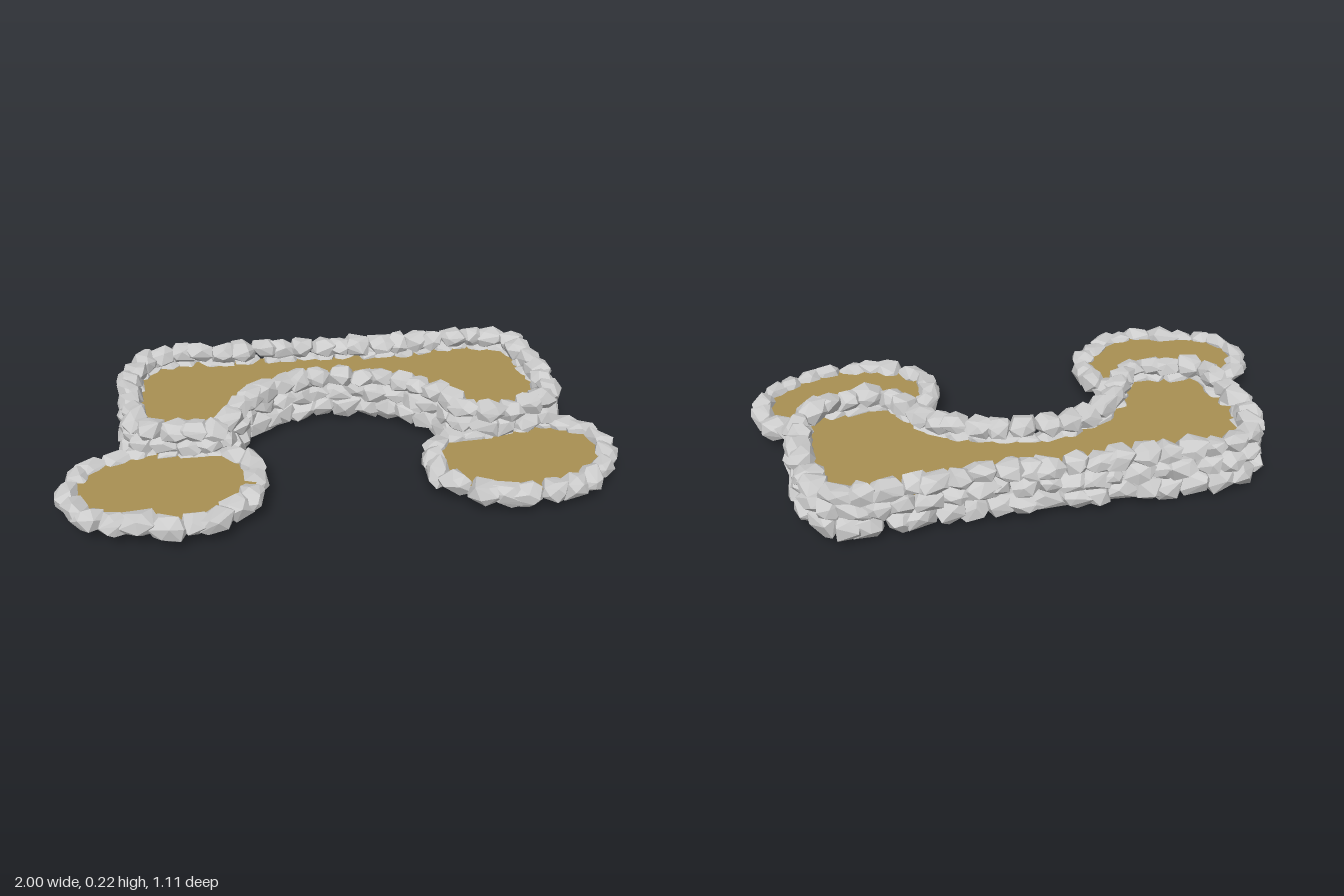
import * as THREE from 'three';
import { ConvexGeometry } from 'three/addons/geometries/ConvexGeometry.js';
import { mergeGeometries } from 'three/addons/utils/BufferGeometryUtils.js';

// Wall centrelines seen from above, as [x, z]
const BED = [
  [-0.74, -0.1], [-0.75, -0.25], [-0.72, -0.41], [-0.62, -0.487], [-0.4, -0.483], [0, -0.475], [0.3, -0.455],
  [0.71, -0.46], [0.79, -0.39], [0.82, -0.2], [0.81, 0.03], [0.74, 0.09], [0.56, 0.125], [0.47, 0.09],
  [0.41, -0.02], [0.3, -0.13], [0.1, -0.21], [-0.1, -0.22], [-0.28, -0.13], [-0.38, 0], [-0.43, 0.09],
  [-0.6, 0.07], [-0.71, 0.05],
];
const LEFT_POND = [
  [0.32, 0.27], [0.37, 0.16], [0.52, 0.13], [0.7, 0.1], [0.85, 0.11], [0.93, 0.19], [0.955, 0.28],
  [0.89, 0.4], [0.76, 0.485], [0.58, 0.503], [0.4, 0.445], [0.33, 0.36],
];
const RIGHT_POND = [
  [-0.96, 0.27], [-0.915, 0.16], [-0.78, 0.095], [-0.6, 0.08], [-0.4, 0.11], [-0.32, 0.25], [-0.345, 0.38],
  [-0.45, 0.475], [-0.56, 0.51], [-0.72, 0.48], [-0.9, 0.415],
];

const stoneMat = new THREE.MeshStandardMaterial({ color: 0xcccccc, flatShading: true });
const soilMat = new THREE.MeshStandardMaterial({ color: 0xa88f52, side: THREE.DoubleSide });

let seed = 7;
function rand(a, b) {
  seed = (seed * 16807) % 2147483647;
  return a + (b - a) * (seed / 2147483647);
}

function loop(points) {
  const curve = new THREE.CatmullRomCurve3(points.map(([x, z]) => new THREE.Vector3(x, 0, z)), true);
  curve.arcLengthDivisions = 400;
  return curve;
}

// One rough boulder: hull of jittered points on a slightly squarish ball
function stone(halfLength, halfHeight, halfDepth) {
  const n = 17, turn = rand(0, 6.28), pts = [];
  for (let i = 0; i < n; i++) {
    const y = 1 - (2 * (i + 0.5)) / n, r = Math.sqrt(1 - y * y), a = i * 2.39996 + turn;
    const p = new THREE.Vector3(r * Math.cos(a), y, r * Math.sin(a));
    p.x += rand(-0.28, 0.28);
    p.y += rand(-0.28, 0.28);
    p.z += rand(-0.28, 0.28);
    const norm = Math.cbrt(Math.abs(p.x) ** 3 + Math.abs(p.y) ** 3 + Math.abs(p.z) ** 3);
    pts.push(p.multiplyScalar(rand(0.92, 1.12) / norm));
  }
  return new ConvexGeometry(pts).scale(halfLength, halfHeight, halfDepth);
}

// A row of overlapping stones laid end to end along a closed curve
function course(name, curve, y, halfHeight, halfDepth, spacing) {
  const count = Math.round(curve.getLength() / spacing);
  const shift = rand(0, 1), stones = [];
  for (let i = 0; i < count; i++) {
    const u = ((i + shift + rand(-0.2, 0.2)) / count + 1) % 1;
    const p = curve.getPointAt(u), t = curve.getTangentAt(u);
    const g = stone(spacing * rand(0.6, 0.85), halfHeight * rand(0.85, 1.06), halfDepth * rand(0.85, 1.1));
    g.rotateX(rand(-0.25, 0.25)).rotateZ(rand(-0.14, 0.14));
    g.rotateY(Math.atan2(-t.z, t.x) + rand(-0.2, 0.2));
    g.translate(p.x + rand(-0.008, 0.008), y + rand(-0.004, 0.004), p.z + rand(-0.008, 0.008));
    stones.push(g);
  }
  const mesh = new THREE.Mesh(mergeGeometries(stones), stoneMat);
  mesh.name = name;
  return mesh;
}

// Flat fill reaching to the middle of the wall
function soil(name, curve, y) {
  const shape = new THREE.Shape(curve.getSpacedPoints(90).slice(0, -1).map((p) => new THREE.Vector2(p.x, -p.z)));
  const mesh = new THREE.Mesh(new THREE.ShapeGeometry(shape).rotateX(-Math.PI / 2), soilMat);
  mesh.position.y = y;
  mesh.name = name;
  return mesh;
}

export function createModel() {
  const model = new THREE.Group();
  model.name = 'stoneGardenBeds';

  // Tall raised bed: three courses, the lowest one heaviest
  const bed = new THREE.Group();
  bed.name = 'raisedBed';
  const bedLine = loop(BED);
  bed.add(
    course('bottomCourse', bedLine, 0.056, 0.047, 0.058, 0.085),
    course('middleCourse', bedLine, 0.118, 0.04, 0.051, 0.08),
    course('topCourse', bedLine, 0.177, 0.036, 0.049, 0.08),
    soil('bedSoil', bedLine, 0.135),
  );
  model.add(bed);

  // Two low beds at the front, ringed by a single course
  for (const [name, points] of [['leftLowBed', LEFT_POND], ['rightLowBed', RIGHT_POND]]) {
    const low = new THREE.Group(), line = loop(points);
    low.name = name;
    low.add(course('rimStones', line, 0.075, 0.039, 0.045, 0.085), soil('lowSoil', line, 0.085));
    model.add(low);
  }
  return model;
}
